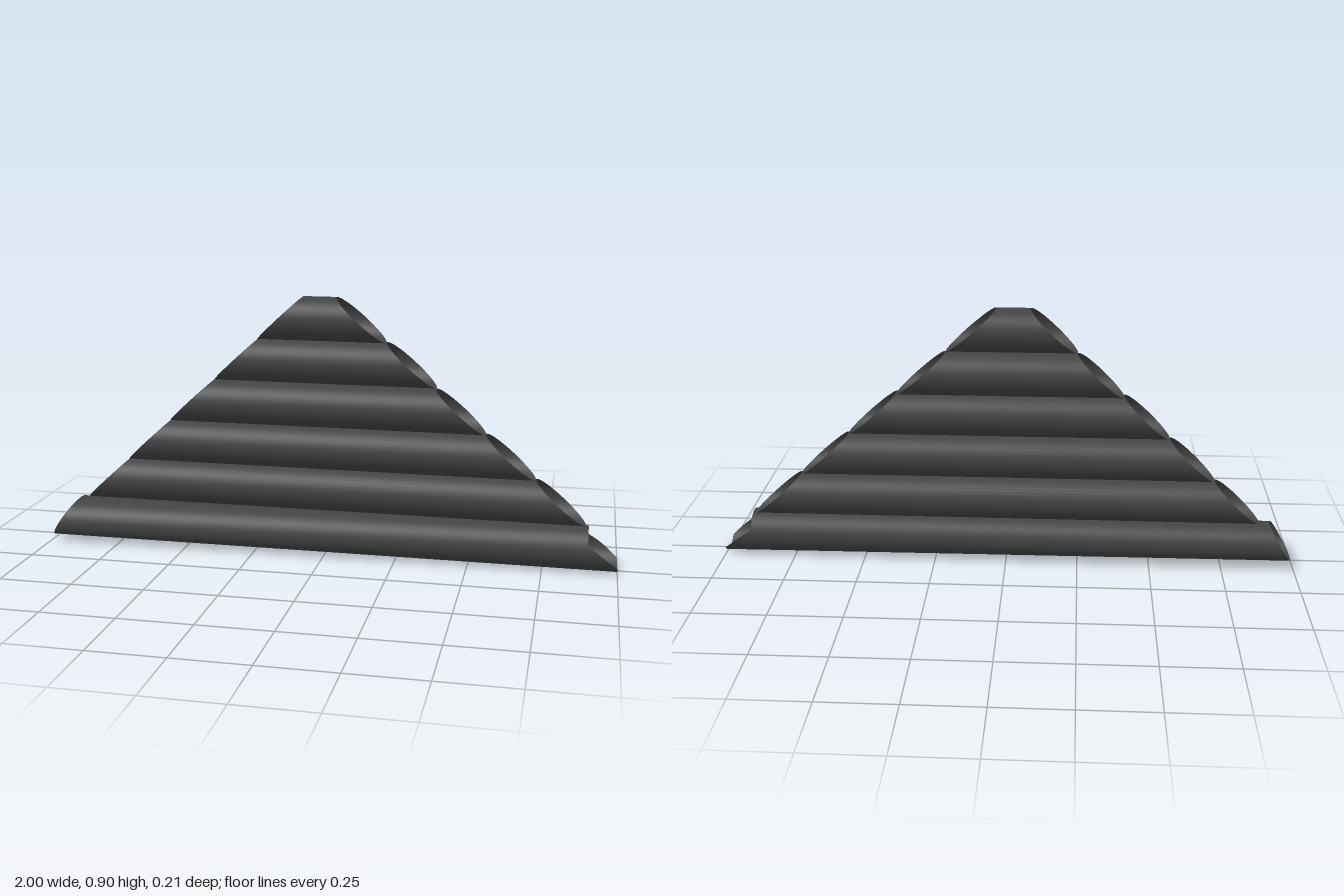
import * as THREE from 'three';

const material = new THREE.MeshStandardMaterial({ color: 0x444444, side: THREE.DoubleSide });
const lerp = THREE.MathUtils.lerp;

// Open round log along x; shape(end, sin, cos) gives the rim point at end 0 (-x) or 1 (+x)
function makeLog(name, segments, shape) {
  const geometry = new THREE.CylinderGeometry(1, 1, 1, segments, 1, true).rotateZ(-Math.PI / 2);
  const p = geometry.attributes.position;
  for (let i = 0; i < p.count; i++) {
    const end = p.getX(i) > 0 ? 1 : 0;
    p.setXYZ(i, ...shape(end, p.getY(i), p.getZ(i)));
  }
  const mesh = new THREE.Mesh(geometry, material);
  mesh.name = name;
  return mesh;
}

export function createModel() {
  const group = new THREE.Group();
  group.name = 'gableLogWall';
  const r = 0.075;

  // Base log: wide oval slanted end at -x, round notched end at +x
  group.add(makeLog('baseLog', 80, (end, s, c) => {
    if (end === 0) {
      const z = 0.105 * c;
      const y = r + 0.064 * s - 0.08 * z;
      return [lerp(-1, -0.92, THREE.MathUtils.clamp((y - 0.01) / 0.13, 0, 1)), y, z];
    }
    const y = r + r * s;
    const x = y > 0.1 ? 0.9 : Math.min(1, 0.9 + 0.1 * Math.pow((0.1 - y) / 0.075, 0.85));
    return [x, y, r * c - 0.002];
  }));

  // Gable logs: stacked, both ends cut along the roof slopes
  const offsets = [-0.012, -0.005, 0.002, -0.012, 0.002];
  offsets.forEach((dz, i) => {
    const cy = 0.225 + 0.15 * i;
    group.add(makeLog('gableLog' + (i + 1), 40, (end, s, c) => {
      const y = cy + r * s;
      const t = (y - 0.15) / 0.75;
      return [end ? lerp(0.89, 0.035, t) : lerp(-0.88, -0.08, t), y, r * c + dz];
    }));
  });
  return group;
}
